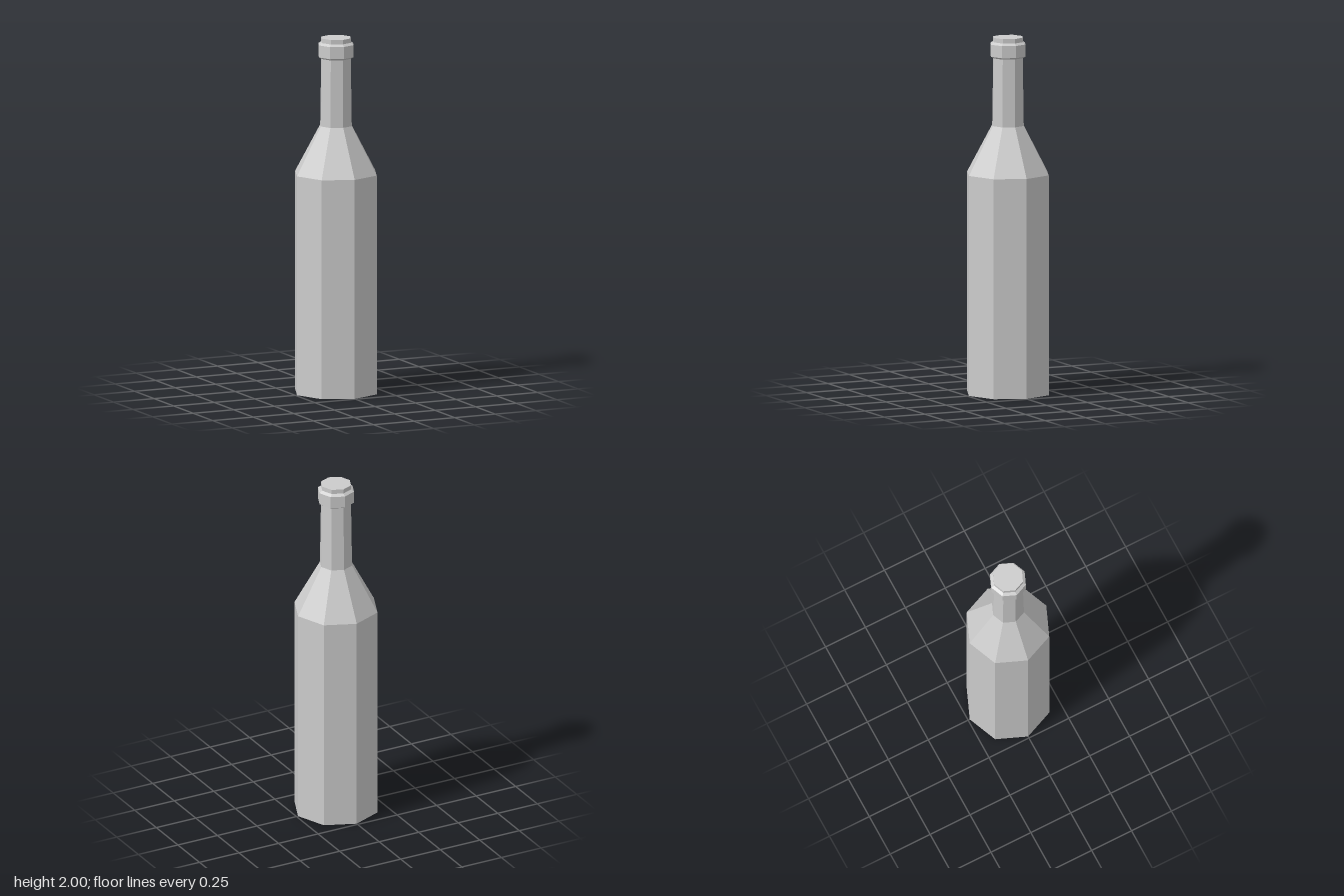
import * as THREE from 'three';

const SIDES = 8;

// Revolves a [radius, height] profile, listed from the bottom up, into an octagonal part.
function turned(name, profile, material) {
  const points = profile.map(([r, y]) => new THREE.Vector2(r, y));
  const mesh = new THREE.Mesh(new THREE.LatheGeometry(points, SIDES), material);
  mesh.name = name;
  return mesh;
}

export function createModel() {
  const model = new THREE.Group();
  model.name = 'bottle';
  const material = new THREE.MeshStandardMaterial({ color: 0xcccccc, flatShading: true });

  // Hollow under the base, and the flat rim it stands on
  model.add(turned('baseHollow', [[0, 0.25], [0.17, 0]], material));
  model.add(turned('baseRim', [[0.17, 0], [0.24, 0]], material));

  // Straight body and sloping shoulder
  model.add(turned('body', [[0.24, 0], [0.24, 1.235]], material));
  model.add(turned('shoulder', [[0.24, 1.235], [0.093, 1.505]], material));

  // Slightly tapering neck
  model.add(turned('neck', [[0.093, 1.505], [0.087, 1.885]], material));

  // Bevelled collar round the mouth
  model.add(turned('collar', [
    [0.087, 1.885], [0.104, 1.895], [0.104, 1.963], [0.087, 1.975],
  ], material));

  // Closed top
  model.add(turned('cap', [[0.087, 1.975], [0.087, 2], [0, 2]], material));

  return model;
}
